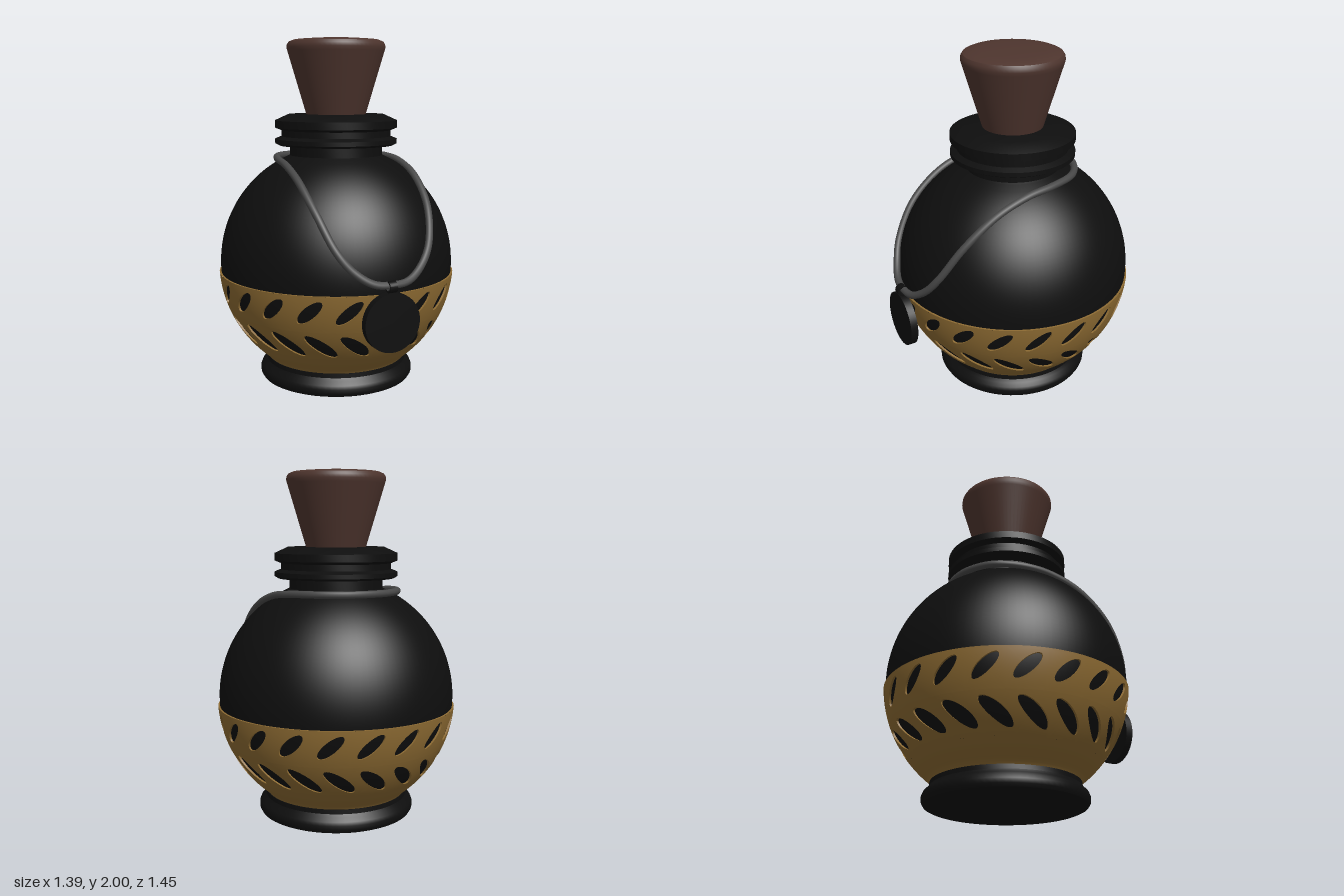
import * as THREE from 'three';
import { toCreasedNormals } from 'three/addons/utils/BufferGeometryUtils.js';

const CENTRE_Y = 0.7, BODY_R = 0.686, BAND_R = 0.697, AXIS_Z = -0.03;
const ringRadius = (R, y) => Math.sqrt(R * R - (y - CENTRE_Y) ** 2);

// points of a sphere profile between two heights
function arc(R, y0, y1, n) {
  return Array.from({ length: n + 1 }, (_, i) => {
    const y = y0 + (y1 - y0) * i / n;
    return [ringRadius(R, y), y];
  });
}

function lathe(name, profile, material, segments = 80) {
  const geo = new THREE.LatheGeometry(profile.map(([r, y]) => new THREE.Vector2(r, y)), segments);
  const mesh = new THREE.Mesh(toCreasedNormals(geo, 0.5), material);
  mesh.name = name;
  return mesh;
}

// One row of the band: cells that each have a tilted leaf-shaped opening
function leafRow({ y0, y1, leafY, length, width, tilt, offset }) {
  const COUNT = 20, SIDE = 16, RINGS = 4;
  const half = Math.PI / COUNT, midR = ringRadius(BAND_R, leafY);
  const border = [];
  for (let side = 0; side < 4; side++) {
    for (let i = 0; i < SIDE; i++) {
      const t = -1 + 2 * i / SIDE;
      const [a, b] = [[1, t], [-t, 1], [-1, -t], [t, -1]][side];
      border.push([a * half * midR, (y0 + y1) / 2 + b * (y1 - y0) / 2 - leafY]);
    }
  }
  const c = Math.cos(tilt), s = Math.sin(tilt);
  const leaf = border.map(([u, v]) => {
    const k = 1 / Math.hypot((u * c + v * s) / length, (v * c - u * s) / width);
    return [u * k, v * k];
  });
  const positions = [];
  for (let n = 0; n < COUNT; n++) {
    const mid = n * 2 * half + offset * 2 * half / SIDE;
    // ring 0 is the floor of the opening, ring 1 its rim, the last ring the cell border
    const point = (ring, i) => {
      i %= border.length;
      const f = Math.max(0, ring - 1) / RINGS;
      const u = leaf[i][0] + (border[i][0] - leaf[i][0]) * f;
      const y = leafY + leaf[i][1] + (border[i][1] - leaf[i][1]) * f;
      const r = ringRadius(ring === 0 ? BODY_R - 0.003 : BAND_R, y), angle = mid + u / midR;
      return [r * Math.sin(angle), y, r * Math.cos(angle)];
    };
    for (let ring = 0; ring <= RINGS; ring++) {
      for (let i = 0; i < border.length; i++) {
        const p = point(ring, i), q = point(ring + 1, i), r = point(ring + 1, i + 1), t = point(ring, i + 1);
        positions.push(...p, ...q, ...r, ...p, ...r, ...t);
      }
    }
  }
  const geo = new THREE.BufferGeometry();
  geo.setAttribute('position', new THREE.Float32BufferAttribute(positions, 3));
  return toCreasedNormals(geo, 0.5);
}

export function createModel() {
  const paint = (name, color) => Object.assign(new THREE.MeshStandardMaterial({ color }), { name });
  const black = paint('black glass', 0x0e0e0e);
  const gold = paint('old gold', 0x8c6a32);
  const brown = paint('brown cork', 0x4e352e);
  const grey = paint('grey cord', 0x484848);

  const model = new THREE.Group();
  model.name = 'potionBottle';
  const bottle = new THREE.Group();
  bottle.name = 'bottle';
  bottle.position.z = AXIS_Z;
  model.add(bottle);

  // Round body, foot and ringed neck
  bottle.add(lathe('body', arc(BODY_R, 0.12, 1.325, 48), black, 96));
  bottle.add(lathe('foot', [
    [0, 0], [0.43, 0], [0.447, 0.008], [0.457, 0.025], [0.458, 0.05], [0.45, 0.07],
    [0.43, 0.088], [0.418, 0.105], [0.416, 0.13], [0.38, 0.132],
  ], black));
  bottle.add(lathe('neck', [
    [0.31, 1.31], [0.272, 1.33], [0.272, 1.385], [0.335, 1.388], [0.357, 1.4], [0.357, 1.425],
    [0.32, 1.44], [0.32, 1.475], [0.357, 1.49], [0.357, 1.532], [0.28, 1.567], [0, 1.567],
  ], black));

  // Pierced gold band
  const band = new THREE.Group();
  band.name = 'goldBand';
  const rows = {
    upperLeaves: { y0: 0.44, y1: 0.65, leafY: 0.555, length: 0.092, width: 0.034, tilt: 0.72, offset: 0 },
    lowerLeaves: { y0: 0.24, y1: 0.44, leafY: 0.345, length: 0.107, width: 0.036, tilt: -0.66, offset: 4 },
  };
  for (const [name, row] of Object.entries(rows)) {
    const mesh = new THREE.Mesh(leafRow(row), gold);
    mesh.name = name;
    band.add(mesh);
  }
  band.add(lathe('bandBase', [[0.38, 0.128], [0.412, 0.13], ...arc(BAND_R, 0.145, 0.24, 6)], gold, 160));
  band.add(lathe('bandLip', [[ringRadius(BAND_R, 0.65), 0.65], [0.675, 0.65]], gold, 160));
  bottle.add(band);

  // Tapered stopper
  bottle.add(lathe('stopper', [
    [0.172, 1.56], [0.28, 1.925], [0.286, 1.945], [0.284, 1.965], [0.274, 1.98],
    [0.25, 1.99], [0.18, 1.996], [0, 2],
  ], brown, 64));

  // Cord: round the neck and hanging down the front, kept on the body surface
  const centre = new THREE.Vector3(0, CENTRE_Y, AXIS_Z);
  const halfPath = [
    [0, 0.705, 0.69], [0.1, 0.715, 0.68], [0.2, 0.78, 0.64], [0.27, 0.88, 0.575], [0.32, 1.05, 0.44],
    [0.345, 1.2, 0.26], [0.352, 1.28, 0.08], [0.345, 1.31, -0.08], [0.28, 1.315, -0.25], [0.15, 1.315, -0.35],
  ];
  const path = [
    ...halfPath, [0, 1.315, -0.378],
    ...halfPath.slice(1).reverse().map(([x, y, z]) => [-x, y, z]),
  ].map((p) => {
    const v = new THREE.Vector3(...p).sub(centre);
    return v.setLength(Math.max(v.length(), 0.7)).add(centre);
  });
  const cord = new THREE.Mesh(
    new THREE.TubeGeometry(new THREE.CatmullRomCurve3(path, true), 160, 0.021, 10, true), grey);
  cord.name = 'cord';
  model.add(cord);

  // Round pendant with its hanging loop
  const pendant = new THREE.Group();
  pendant.name = 'pendant';
  pendant.position.set(-0.008, 0, 0.697);
  const disc = new THREE.Mesh(new THREE.CylinderGeometry(0.16, 0.16, 0.042, 48), black);
  disc.name = 'pendantDisc';
  disc.rotation.x = Math.PI / 2;
  disc.position.y = 0.508;
  const loop = lathe('pendantLoop', [
    [0.022, -0.022], [0.031, -0.022], [0.031, 0.022], [0.022, 0.022], [0.022, -0.022],
  ], black, 24);
  loop.rotation.z = Math.PI / 2;
  loop.position.y = 0.698;
  pendant.add(disc, loop);
  model.add(pendant);

  return model;
}
